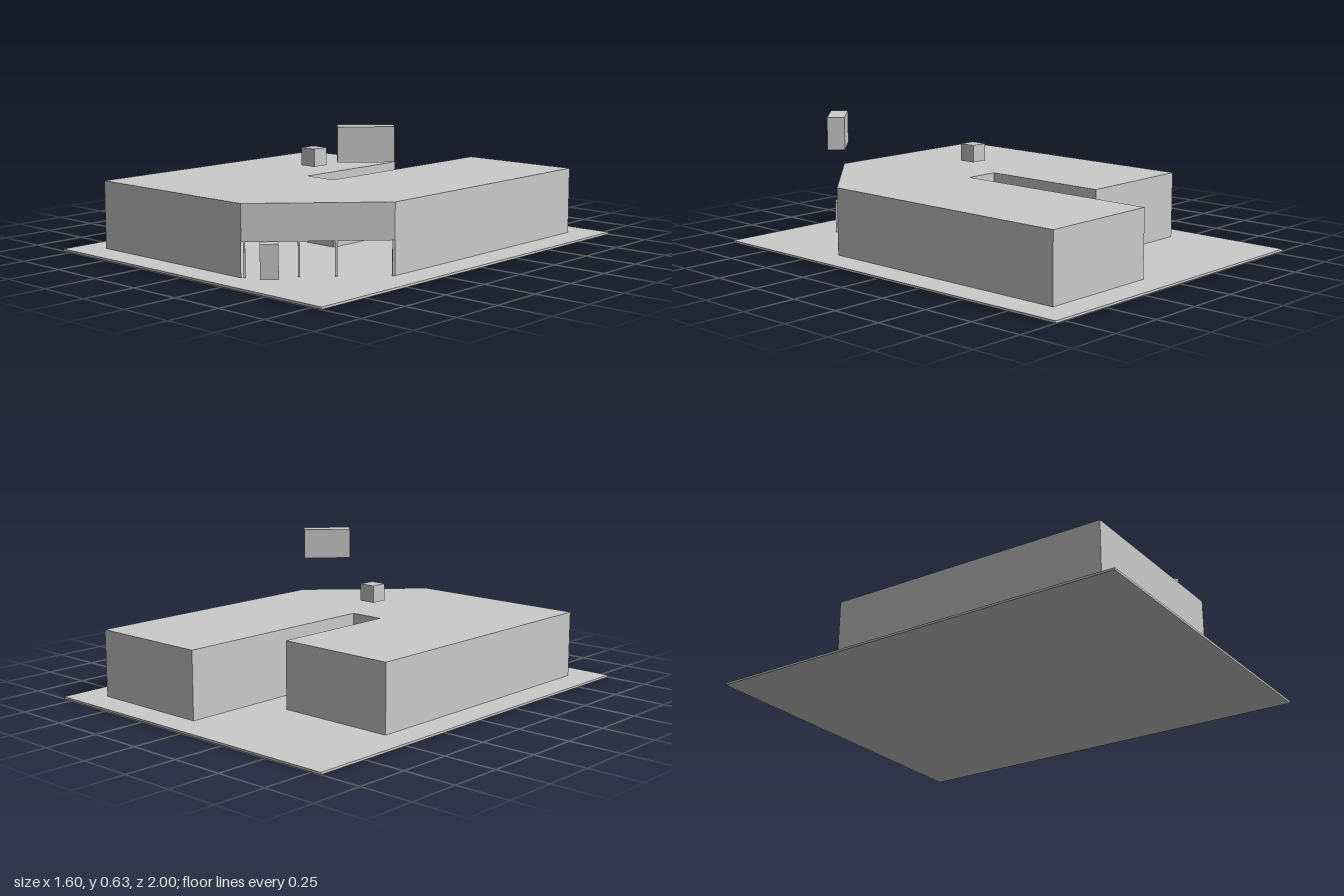
import * as THREE from 'three';

export function createModel() {
  const group = new THREE.Group();
  const solid = new THREE.MeshStandardMaterial({ color: 0xcccccc, flatShading: true });
  const thin = new THREE.MeshStandardMaterial({ color: 0xcccccc, flatShading: true, side: THREE.DoubleSide });

  const GROUND = 0.01, LINTEL = 0.16, ROOF = 0.32;

  // box centred on (x, z), standing on y0
  function box(name, w, h, d, x, y0, z, turn = 0) {
    const mesh = new THREE.Mesh(new THREE.BoxGeometry(w, h, d), solid);
    mesh.name = name;
    mesh.position.set(x, y0 + h / 2, z);
    mesh.rotation.y = turn;
    group.add(mesh);
  }

  // upright panel from plan point p to q, facing out of the counter-clockwise outline
  function panel(name, [px, pz], [qx, qz], y0, y1) {
    const mesh = new THREE.Mesh(new THREE.PlaneGeometry(Math.hypot(qx - px, qz - pz), y1 - y0), thin);
    mesh.name = name;
    mesh.position.set((px + qx) / 2, (y0 + y1) / 2, (pz + qz) / 2);
    mesh.rotation.y = Math.atan2(pz - qz, qx - px);
    group.add(mesh);
  }

  box('groundSlab', 1.6, GROUND, 2, 0, 0, 0);

  // U-shaped plan (x, z) with a cut corner at the entrance
  const plan = [
    [-0.665, 0.865], [0.22, 0.865], [0.66, 0.41], [0.66, -0.865],
    [0.075, -0.865], [0.075, 0.15], [-0.09, 0.15], [-0.09, -0.47], [-0.665, -0.47],
  ];
  plan.forEach((p, i) => {
    const q = plan[(i + 1) % plan.length];
    if (i === 1) panel('entranceFascia', p, q, LINTEL, ROOF);
    else panel('wall', p, q, GROUND, ROOF);
  });

  // flat roof
  const outline = new THREE.Shape(plan.map(([x, z]) => new THREE.Vector2(x, -z)));
  const roof = new THREE.Mesh(new THREE.ShapeGeometry(outline).rotateX(-Math.PI / 2), thin);
  roof.name = 'roof';
  roof.position.y = ROOF;
  group.add(roof);

  // posts under the fascia
  const turn = Math.PI / 4;
  for (const [x, z] of [[0.226, 0.853], [0.382, 0.692], [0.489, 0.582], [0.653, 0.412]]) {
    box('entrancePost', 0.009, LINTEL - GROUND, 0.009, x, GROUND, z, turn);
  }

  // kiosk in the entrance, sign block above it and rooftop unit
  box('entranceKiosk', 0.077, 0.147, 0.082, 0.298, GROUND, 0.78, turn);
  box('signBlock', 0.23, 0.145, 0.077, 0.573, 0.49, 0.497, turn);
  box('rooftopUnit', 0.08, 0.08, 0.08, 0, 0.385, 0.2);

  return group;
}
